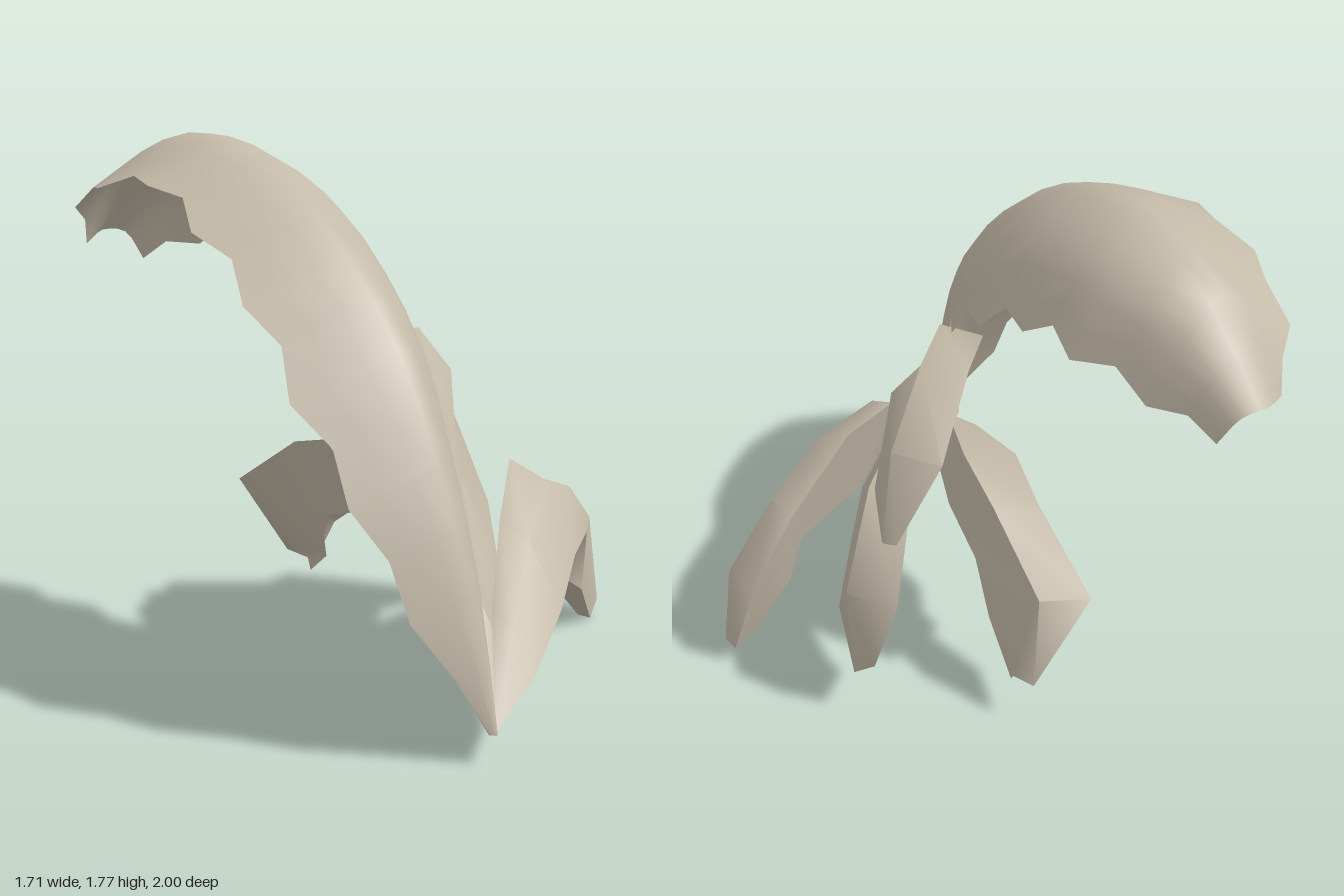
import * as THREE from 'three';
import { toCreasedNormals } from 'three/addons/utils/BufferGeometryUtils.js';

const bone = new THREE.MeshStandardMaterial({ color: 0xc4baa8, side: THREE.DoubleSide });
bone.name = 'bone';

const vec = (p) => new THREE.Vector3(...p);
const curve = (pts) => new THREE.CatmullRomCurve3(pts.map(vec));
const ROOT = vec([-0.62, 0.09, 0.98]);

// Skins rows of points, each row having the same number of points.
function skin(rows) {
  const w = rows[0].length, index = [];
  for (let i = 0; i < rows.length - 1; i++) {
    for (let j = 0; j < w - 1; j++) {
      const a = i * w + j, b = a + w;
      index.push(a, a + 1, b, a + 1, b + 1, b);
    }
  }
  const geo = new THREE.BufferGeometry().setFromPoints(rows.flat());
  geo.setIndex(index);
  geo.computeVertexNormals();
  return geo;
}

function addMesh(group, name, geo) {
  const mesh = new THREE.Mesh(geo, bone);
  mesh.name = name;
  group.add(mesh);
}

// Large arched frond: a bowed sheet through two toothed edges, a midrib and a shoulder.
function tallFrond() {
  const left = curve([[-0.65, 0.1, 0.98], [-0.79, 0.43, 0.8], [-0.85, 0.75, 0.63], [-0.86, 1.03, 0.43], [-0.81, 1.29, 0.22],
    [-0.75, 1.49, -0.03], [-0.66, 1.62, -0.29], [-0.58, 1.6, -0.59], [-0.42, 1.52, -0.86], [-0.27, 1.38, -0.96]]);
  const rib = curve([[-0.64, 0.1, 1], [-0.63, 0.5, 0.9], [-0.61, 0.85, 0.77], [-0.57, 1.16, 0.61], [-0.51, 1.42, 0.38],
    [-0.43, 1.63, 0.1], [-0.36, 1.75, -0.18], [-0.28, 1.78, -0.45], [-0.2, 1.69, -0.76], [-0.15, 1.42, -1]]);
  const shoulder = curve([[-0.62, 0.1, 0.99], [-0.53, 0.48, 0.87], [-0.44, 0.82, 0.72], [-0.34, 1.13, 0.54], [-0.24, 1.35, 0.33],
    [-0.15, 1.54, 0.08], [-0.09, 1.66, -0.2], [-0.04, 1.69, -0.48], [-0.04, 1.6, -0.76], [-0.06, 1.41, -0.97]]);
  const right = curve([[-0.61, 0.1, 0.98], [-0.47, 0.39, 0.82], [-0.33, 0.69, 0.63], [-0.18, 0.97, 0.43], [-0.07, 1.11, 0.28],
    [0.02, 1.29, 0.05], [0.07, 1.41, -0.2], [0.1, 1.43, -0.43], [0.05, 1.37, -0.7], [-0.02, 1.31, -0.92]]);
  const rows = [];
  for (let i = 0; i <= 18; i++) {
    const t = i / 18, notch = i % 2 ? 0.14 : 0;
    const m = rib.getPoint(t), s = shoulder.getPoint(t);
    const l = left.getPoint(t).lerp(m, notch), r = right.getPoint(t).lerp(s, notch * 1.5);
    const row = new THREE.CatmullRomCurve3([l, m, s, r]).getPoints(9);
    // The left part is flatter than the right.
    for (const j of [1, 2]) row[j].lerp(l.clone().lerp(m, j / 3), 0.4);
    rows.push(row);
  }
  return skin(rows);
}

// Short frond: a four-sided blade; each section is
// [back top, front top, front bottom, back bottom].
function shortFrond(sections) {
  const rows = sections.map((sec) => sec.map(vec));
  const centre = (row) => row.reduce((sum, p) => sum.addScaledVector(p, 0.25), new THREE.Vector3());
  // A fuller section halfway to the root, then the root and the tip as points.
  const mid = centre(rows[0]);
  const half = rows[0].map((p) => ROOT.clone().lerp(mid, 0.5).addScaledVector(p.clone().sub(mid), 0.68));
  const tip = centre(rows.at(-1));
  const all = [Array(4).fill(ROOT), half, ...rows, Array(4).fill(tip)];
  return toCreasedNormals(skin(all.map((row) => [...row, row[0]])), 0.9);
}

export function createModel() {
  const group = new THREE.Group();
  group.name = 'frondCluster';
  addMesh(group, 'tallFrond', tallFrond());

  addMesh(group, 'lowerFrond', shortFrond([
    [[-0.1, 0.57, 0.68], [-0.12, 0.52, 0.8], [-0.14, 0.33, 0.93], [-0.12, 0.22, 0.8]],
    [[0.23, 0.69, 0.52], [0.26, 0.62, 0.66], [0.15, 0.42, 0.82], [0.07, 0.28, 0.67]],
    [[0.57, 0.55, 0.44], [0.55, 0.54, 0.58], [0.5, 0.4, 0.68], [0.42, 0.26, 0.6]],
    [[0.81, 0.4, 0.37], [0.79, 0.37, 0.54], [0.55, 0.17, 0.64], [0.53, 0.17, 0.54]],
    [[0.85, 0.08, 0.47], [0.83, 0.05, 0.56], [0.72, 0.01, 0.59], [0.7, 0.02, 0.55]],
  ]));

  addMesh(group, 'middleFrond', shortFrond([
    [[-0.24, 0.74, 0.46], [-0.17, 0.7, 0.58], [-0.12, 0.43, 0.69], [-0.16, 0.42, 0.6]],
    [[0.04, 0.91, 0.13], [0.15, 0.89, 0.28], [0.26, 0.52, 0.42], [0.18, 0.46, 0.3]],
    [[0.42, 0.79, -0.03], [0.46, 0.81, 0.13], [0.45, 0.45, 0.27], [0.38, 0.42, 0.16]],
    [[0.63, 0.58, -0.19], [0.69, 0.56, 0], [0.58, 0.3, 0.19], [0.5, 0.3, 0.04]],
    [[0.66, 0.26, -0.09], [0.68, 0.18, 0], [0.6, 0.15, 0.06], [0.55, 0.2, 0.02]],
  ]));

  addMesh(group, 'upperFrond', shortFrond([
    [[-0.27, 0.98, 0.33], [-0.17, 1.02, 0.45], [-0.17, 0.78, 0.56], [-0.24, 0.7, 0.48]],
    [[0.06, 1.12, 0.06], [0.15, 1.12, 0.2], [0.2, 0.98, 0.3], [0.06, 0.87, 0.16]],
    [[0.38, 1.01, -0.15], [0.44, 1.0, 0.03], [0.46, 0.82, 0.1], [0.36, 0.76, 0.02]],
    [[0.52, 0.71, -0.07], [0.54, 0.7, -0.02], [0.5, 0.69, 0.04], [0.45, 0.69, 0]],
  ]));

  addMesh(group, 'rearFrond', shortFrond([
    [[-0.3, 0.52, 0.4], [-0.25, 0.54, 0.5], [-0.22, 0.35, 0.55], [-0.28, 0.35, 0.45]],
    [[-0.08, 0.74, -0.03], [0.05, 0.74, 0.1], [0.08, 0.5, 0.15], [0, 0.48, 0.05]],
    [[0.02, 0.69, -0.24], [0.14, 0.69, -0.14], [0.17, 0.44, -0.08], [0.08, 0.42, -0.14]],
    [[0.08, 0.5, -0.55], [0.23, 0.52, -0.45], [0.27, 0.34, -0.25], [0.18, 0.3, -0.23]],
    [[0.29, 0.19, -0.49], [0.3, 0.18, -0.4], [0.28, 0.13, -0.37], [0.22, 0.22, -0.25]],
  ]));
  return group;
}
